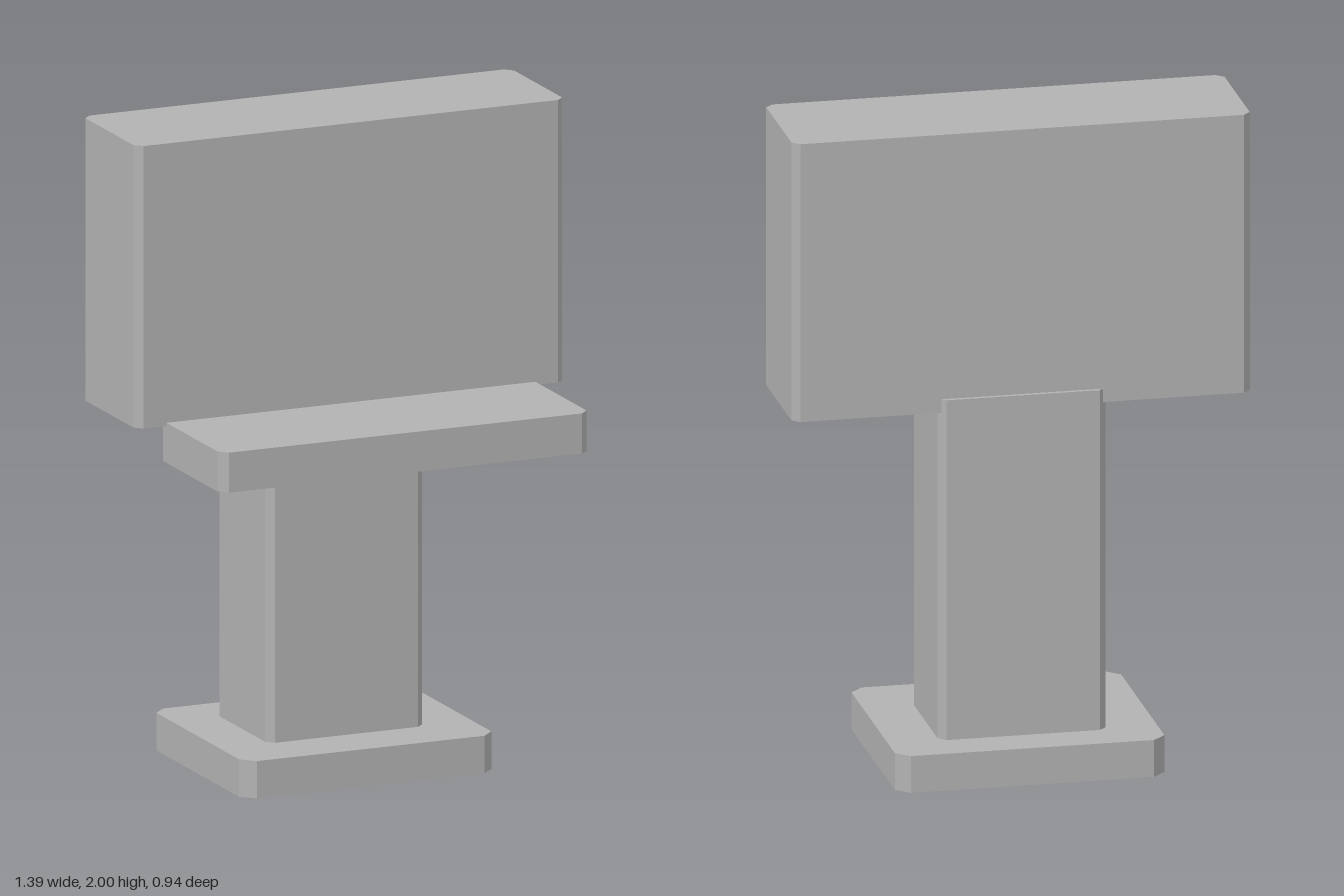
import * as THREE from 'three';

// Upright block with chamfered vertical edges, given by its extents
function chamferedBlock(name, halfWidth, y0, y1, zBack, zFront, chamfer, material) {
  const w = halfWidth, d = (zFront - zBack) / 2, c = chamfer;
  const outline = new THREE.Shape([
    [w - c, -d], [w, -d + c], [w, d - c], [w - c, d],
    [-w + c, d], [-w, d - c], [-w, -d + c], [-w + c, -d],
  ].map(([x, y]) => new THREE.Vector2(x, y)));
  const geometry = new THREE.ExtrudeGeometry(outline, { depth: y1 - y0, bevelEnabled: false });
  geometry.rotateX(-Math.PI / 2);
  const mesh = new THREE.Mesh(geometry, material);
  mesh.name = name;
  mesh.position.set(0, y0, (zBack + zFront) / 2);
  return mesh;
}

export function createModel() {
  const grey = new THREE.MeshStandardMaterial({ color: 0xb2b2b2 });
  grey.name = 'grey';
  const group = new THREE.Group();
  group.name = 'kiosk';
  group.add(
    chamferedBlock('base', 0.41, 0, 0.115, -0.47, 0.215, 0.04, grey),
    chamferedBlock('post', 0.255, 0.115, 1.175, -0.34, 0.038, 0.022, grey),
    chamferedBlock('shelf', 0.6, 1.02, 1.143, 0.018, 0.47, 0.026, grey),
    chamferedBlock('screenHousing', 0.697, 1.133, 2, -0.327, 0.07, 0.023, grey),
  );
  return group;
}
